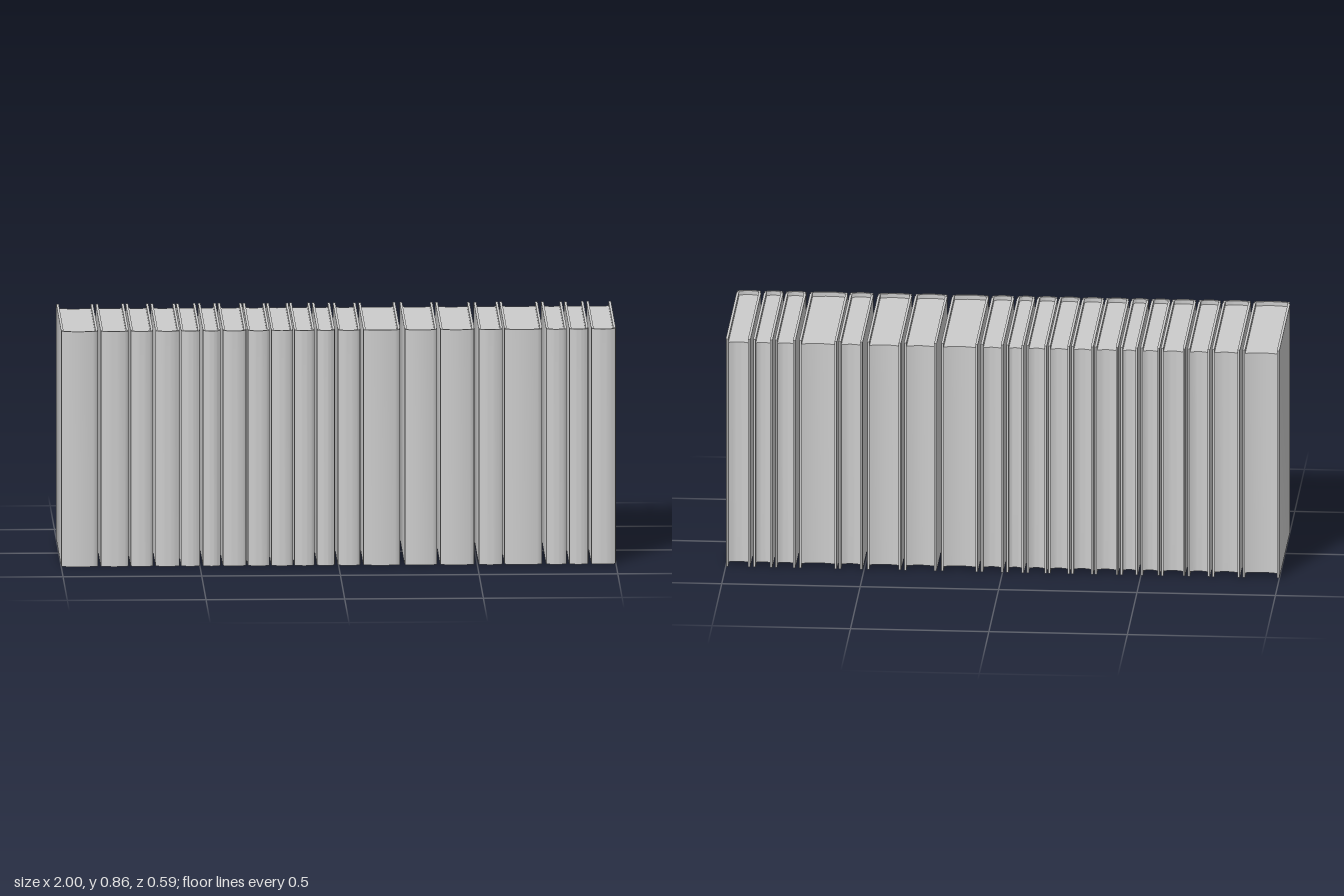
import * as THREE from 'three';
import { toCreasedNormals } from 'three/addons/utils/BufferGeometryUtils.js';

const HEIGHT = 0.86, BACK = -0.295, FRONT = 0.295;
const BOARD = 0.009, RECESS = 0.015;

// left and right limits of each book along the row
const BOOKS = [
  [-1, -0.867], [-0.858, -0.756], [-0.75, -0.668], [-0.66, -0.572], [-0.568, -0.498],
  [-0.489, -0.425], [-0.418, -0.332], [-0.328, -0.248], [-0.243, -0.164], [-0.16, -0.086],
  [-0.078, -0.013], [-0.003, 0.079], [0.089, 0.222], [0.238, 0.356], [0.366, 0.49],
  [0.505, 0.592], [0.598, 0.735], [0.748, 0.823], [0.831, 0.901], [0.911, 1],
];

// extrude a plan outline (x, z) upward from y0 to y1
function upright(shape, y0, y1) {
  const g = new THREE.ExtrudeGeometry(shape, { depth: y1 - y0, bevelEnabled: false, curveSegments: 10 });
  g.rotateX(Math.PI / 2).translate(0, y1, 0);
  return toCreasedNormals(g, 0.7);
}

// boards with hinge grooves joined by a rounded spine
function coverShape(h) {
  const i = h - BOARD, s = new THREE.Shape();
  s.moveTo(h - 0.002, BACK);
  s.lineTo(h, BACK + 0.003);
  s.lineTo(h, 0.262);
  s.quadraticCurveTo(h - 0.008, 0.27, h - 0.001, 0.278);
  s.quadraticCurveTo(h, 0.283, h - 0.006, 0.286);
  s.quadraticCurveTo(0, FRONT * 2 - 0.286, -h + 0.006, 0.286);
  s.quadraticCurveTo(-h, 0.283, -h + 0.001, 0.278);
  s.quadraticCurveTo(-h + 0.008, 0.27, -h, 0.262);
  s.lineTo(-h, BACK + 0.003);
  s.lineTo(-h + 0.002, BACK);
  s.lineTo(-i, BACK);
  s.lineTo(-i, 0.276);
  s.quadraticCurveTo(0, 0.294, i, 0.276);
  s.lineTo(i, BACK);
  s.closePath();
  return s;
}

// page block with a hollowed fore edge and a rounded back
function pageShape(h) {
  const i = h - BOARD + 0.001, s = new THREE.Shape();
  s.moveTo(-i, -0.287);
  s.quadraticCurveTo(0, -0.267, i, -0.287);
  s.lineTo(i, 0.277);
  s.quadraticCurveTo(0, 0.295, -i, 0.277);
  s.closePath();
  return s;
}

export function createModel() {
  const model = new THREE.Group();
  model.name = 'bookRow';
  const grey = new THREE.MeshStandardMaterial({ color: 0xcccccc });
  grey.name = 'plain grey';

  BOOKS.forEach(([left, right], n) => {
    const half = (right - left) / 2;
    const book = new THREE.Group();
    book.name = `book${n + 1}`;
    book.position.x = (left + right) / 2;

    const cover = new THREE.Mesh(upright(coverShape(half), 0, HEIGHT), grey);
    cover.name = 'cover';
    const pages = new THREE.Mesh(upright(pageShape(half), RECESS, HEIGHT - RECESS), grey);
    pages.name = 'pages';
    book.add(cover, pages);
    model.add(book);
  });
  return model;
}
